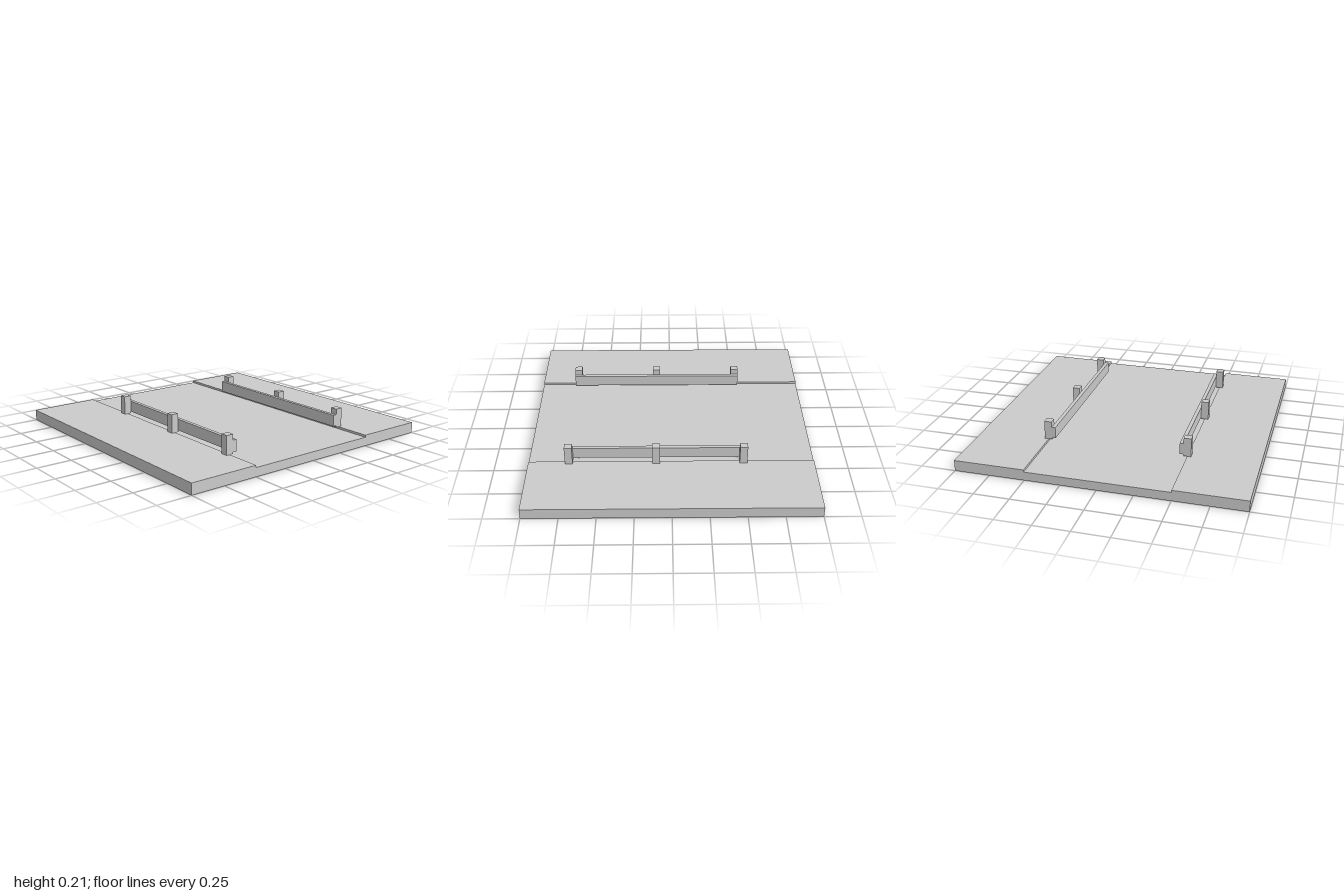
import * as THREE from 'three';

const material = new THREE.MeshStandardMaterial({ color: 0xcccccc, flatShading: true });

// Box given by its lower and upper corners
function box(name, [x0, y0, z0], [x1, y1, z1]) {
  const geometry = new THREE.BoxGeometry(x1 - x0, y1 - y0, z1 - z0);
  const mesh = new THREE.Mesh(geometry, material);
  mesh.position.set((x0 + x1) / 2, (y0 + y1) / 2, (z0 + z1) / 2);
  mesh.name = name;
  return mesh;
}

export function createModel() {
  const model = new THREE.Group();
  model.name = 'roadSection';

  // Ground slab with a sunken roadway along z
  const road = 0.0625, verge = 0.078;
  const profile = new THREE.Shape([
    [-1, 0], [1, 0], [1, verge], [0.5, verge],
    [0.5, road], [-0.5, road], [-0.5, verge], [-1, verge],
  ].map(([x, y]) => new THREE.Vector2(x, y)));
  const slab = new THREE.Mesh(
    new THREE.ExtrudeGeometry(profile, { depth: 2, bevelEnabled: false }).translate(0, 0, -1),
    material,
  );
  slab.name = 'roadSlab';
  model.add(slab);

  // Guard rails on both road edges: three posts and a beam on the road side
  const half = 0.0267;
  for (const side of [1, -1]) {
    const guardRail = new THREE.Group();
    guardRail.name = side > 0 ? 'leftGuardRail' : 'rightGuardRail';
    for (const z of [-0.503, 0.107, 0.715]) {
      const x = side * 0.5;
      guardRail.add(box('post', [x - half, verge, z - half], [x + half, 0.213, z + half]));
    }
    const beamX = side * 0.46;
    guardRail.add(box('beam', [beamX - 0.0133, 0.09, -0.53], [beamX + 0.0133, 0.172, 0.742]));
    model.add(guardRail);
  }
  return model;
}
